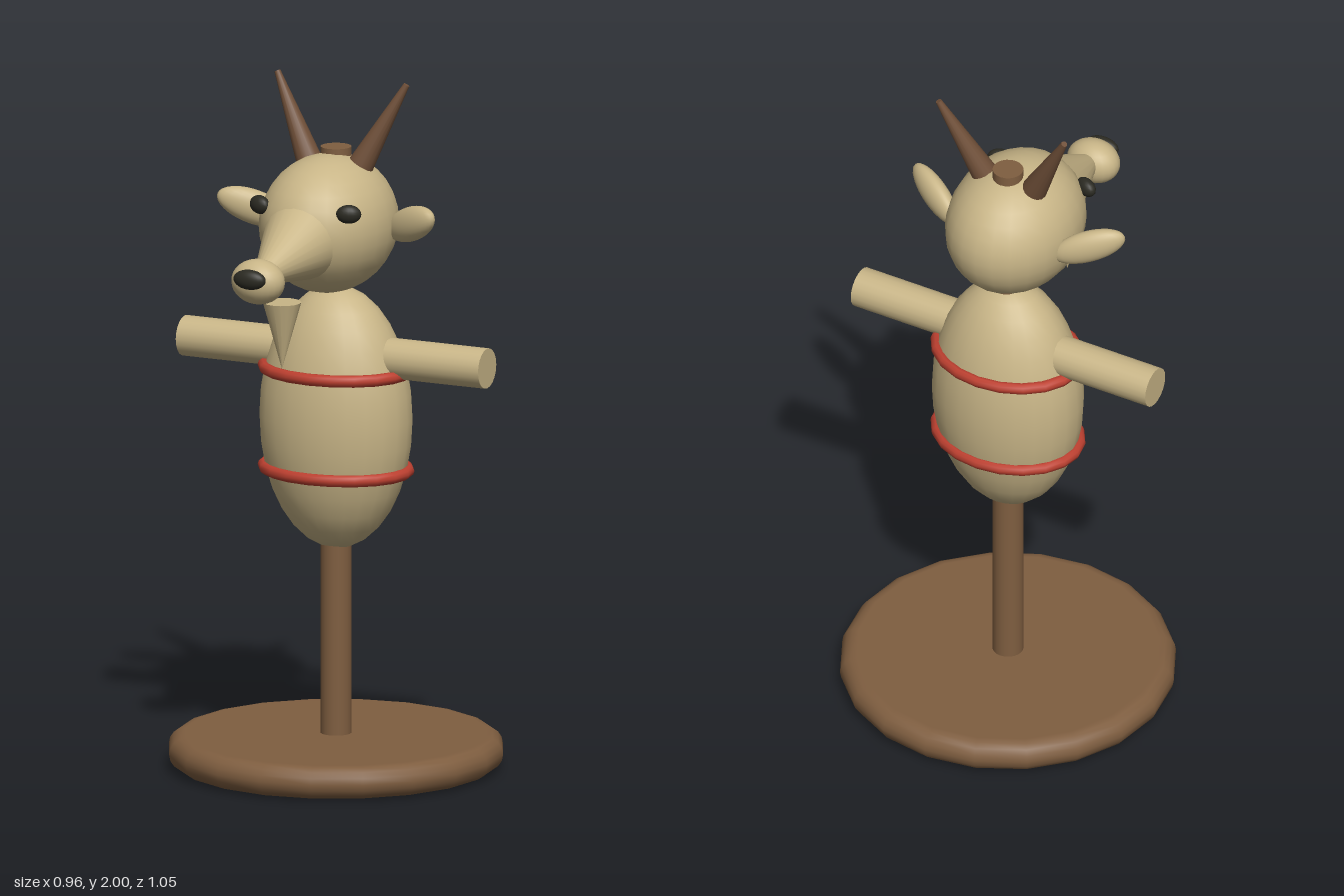
import * as THREE from 'three';

function mat(name, color) {
  const m = new THREE.MeshStandardMaterial({ color });
  m.name = name;
  return m;
}

export function createModel() {
  const group = new THREE.Group();
  const tan = mat('straw tan', 0xc8b587);
  const wood = mat('wood brown', 0x7f5e40);
  const horn = mat('horn brown', 0x6f4f38);
  const red = mat('red band', 0xbd4030);
  const dark = mat('dark', 0x2b2a22);
  const axisZ = -0.045;

  function add(name, geo, material, x, y, z) {
    const mesh = new THREE.Mesh(geo, material);
    mesh.name = name;
    mesh.position.set(x, y, z);
    group.add(mesh);
    return mesh;
  }
  function ellipsoid(name, material, pos, radii, ws = 24, hs = 16) {
    const geo = new THREE.SphereGeometry(1, ws, hs).scale(...radii);
    return add(name, geo, material, ...pos);
  }
  // tapered cylinder running between two points
  function rod(name, material, from, to, r0, r1, sides = 20) {
    const a = new THREE.Vector3(...from), b = new THREE.Vector3(...to);
    const dir = b.clone().sub(a);
    const geo = new THREE.CylinderGeometry(r1, r0, dir.length(), sides);
    const mid = a.add(b).multiplyScalar(0.5);
    const mesh = add(name, geo, material, mid.x, mid.y, mid.z);
    mesh.quaternion.setFromUnitVectors(new THREE.Vector3(0, 1, 0), dir.normalize());
    return mesh;
  }

  // round base with a rolled rim
  const profile = [new THREE.Vector2(0, 0.003)];
  for (let i = 0; i <= 8; i++) {
    const a = -Math.PI / 2 + (Math.PI * i) / 8;
    profile.push(new THREE.Vector2(0.432 + 0.048 * Math.cos(a), 0.051 + 0.048 * Math.sin(a)));
  }
  profile.push(new THREE.Vector2(0, 0.099));
  add('base', new THREE.LatheGeometry(profile, 20), wood, 0, 0, axisZ);
  rod('pole', wood, [0, 0, axisZ], [0, 1.805, axisZ], 0.044, 0.044);

  // body, arms and bands
  ellipsoid('body', tan, [0, 1.02, axisZ], [0.227, 0.382, 0.184]);
  rod('arms', tan, [-0.48, 1.206, axisZ], [0.48, 1.206, axisZ], 0.058, 0.058);
  for (const y of [0.87, 1.16]) {
    const ring = new THREE.TorusGeometry(1, 0.085, 10, 20);
    ring.rotateX(Math.PI / 2).scale(0.213, 0.205, 0.173);
    add('band', ring, red, 0, y, axisZ);
  }

  // head, snout and nose
  ellipsoid('head', tan, [0, 1.592, 0], [0.19, 0.199, 0.235]);
  rod('snout', tan, [0, 1.568, 0.195], [0, 1.52, 0.42], 0.11, 0.027, 24);
  ellipsoid('muzzle', tan, [0, 1.51, 0.448], [0.08, 0.065, 0.062]);
  ellipsoid('nose', dark, [0, 1.526, 0.502], [0.05, 0.029, 0.023]);
  rod('beard', tan, [0, 1.42, 0.297], [0, 1.225, 0.297], 0.055, 0, 16);

  // paired features
  for (const s of [-1, 1]) {
    const eye = ellipsoid('eye', dark, [s * 0.141, 1.661, 0.156], [0.036, 0.027, 0.022], 16, 12);
    eye.rotation.y = s * 0.4;

    const ear = ellipsoid('ear', tan, [s * 0.25, 1.608, -0.022], [0.11, 0.049, 0.033]);
    ear.rotation.set(0, -s * 0.46, s * 0.36);

    rod('horn', horn, [s * 0.08, 1.755, -0.037], [s * 0.205, 1.996, -0.083], 0.038, 0.009, 16);
  }
  return group;
}
